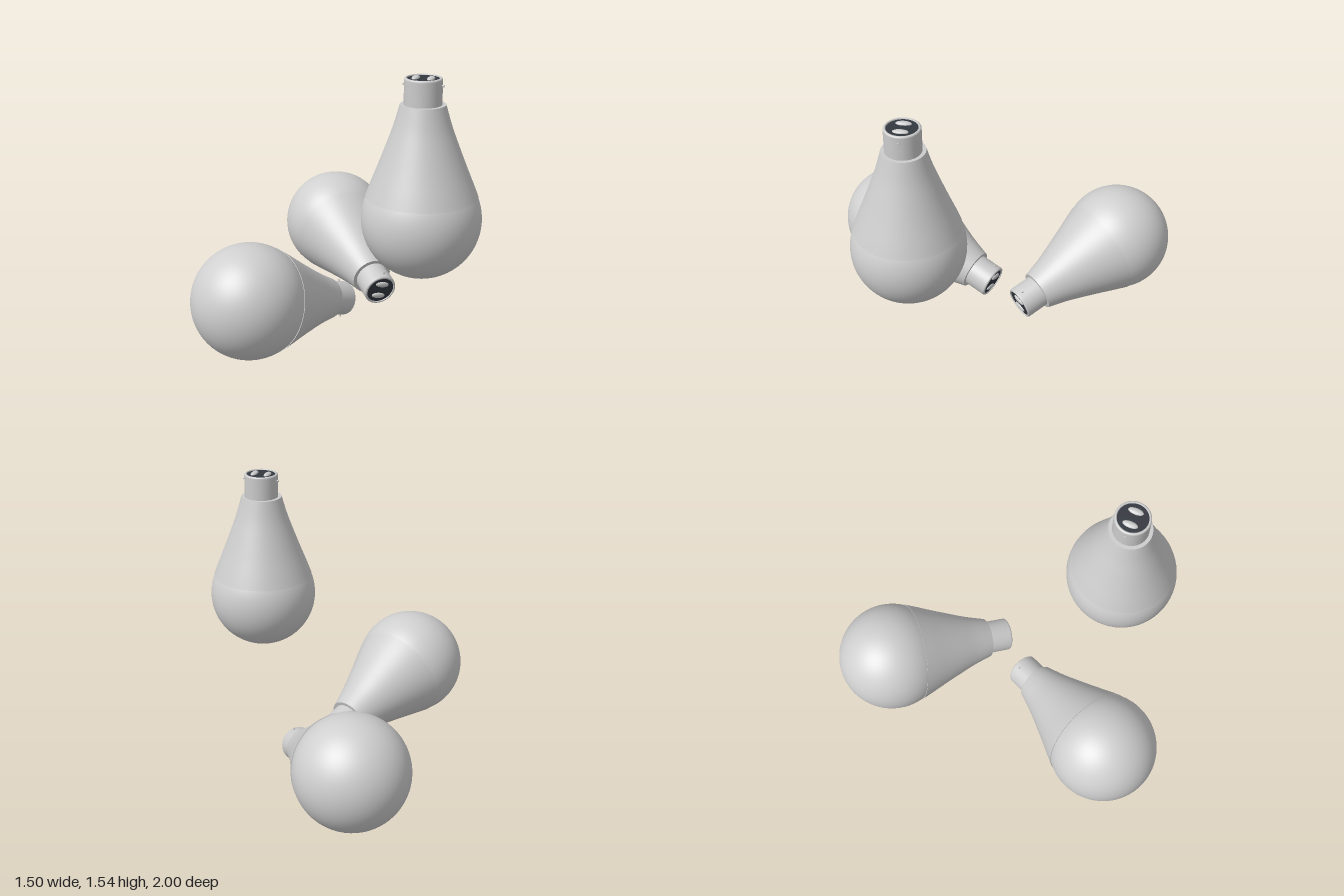
import * as THREE from 'three';

const mat = (name, color) => Object.assign(new THREE.MeshStandardMaterial({ color }), { name });

export function createModel() {
  const globeMat = mat('globe white', 0xcfcfcf);
  const bodyMat = mat('body white', 0xcccccc);
  const metalMat = mat('cap metal', 0xcccccc);
  const darkMat = mat('dark insulator', 0x33383f);

  const R = 0.315, SEAM = 0.125; // globe radius and height of the seam above its centre
  const v = (x, y) => new THREE.Vector2(x, y);

  // globe: sphere cut off just inside the body
  const cut = Math.acos((SEAM + 0.003) / R);
  const globeGeo = new THREE.SphereGeometry(R, 64, 40, 0, Math.PI * 2, cut, Math.PI - cut);

  // body: concave neck, with thin lips at the seam and the collar
  const neck = new THREE.SplineCurve([
    v(0.293, SEAM), v(0.268, 0.19), v(0.228, 0.29), v(0.186, 0.4), v(0.15, 0.5), v(0.118, 0.61),
  ]).getPoints(28);
  const bodyGeo = new THREE.LatheGeometry(neck, 64);
  const lipGeo = new THREE.RingGeometry(0.283, 0.293, 64).rotateX(Math.PI / 2);
  const collarGeo = new THREE.RingGeometry(0.09, 0.118, 64).rotateX(-Math.PI / 2);

  // cap: sleeve with a rounded rim
  const capPts = [v(0.098, 0.6), v(0.098, 0.735)];
  for (let i = 1; i <= 6; i++) {
    const a = (i / 6) * Math.PI / 2;
    capPts.push(v(0.088 + 0.01 * Math.cos(a), 0.738 + 0.01 * Math.sin(a)));
  }
  capPts.push(v(0.084, 0.747), v(0.083, 0.738));
  const capGeo = new THREE.LatheGeometry(capPts, 48);
  const discGeo = new THREE.CircleGeometry(0.085, 48).rotateX(-Math.PI / 2);
  const contactGeo = new THREE.SphereGeometry(1, 20, 12).scale(0.019, 0.012, 0.043);
  const pinGeo = new THREE.CylinderGeometry(0.006, 0.006, 0.216, 12).rotateZ(Math.PI / 2);

  function bulb(name, centre, axis, side) {
    const g = new THREE.Group();
    g.name = name;
    const add = (part, geo, m, x = 0, y = 0) => {
      const mesh = new THREE.Mesh(geo, m);
      mesh.name = part;
      mesh.position.set(x, y, 0);
      g.add(mesh);
    };
    add('globe', globeGeo, globeMat);
    add('body', bodyGeo, bodyMat);
    add('seamLip', lipGeo, bodyMat, 0, SEAM);
    add('collar', collarGeo, bodyMat, 0, 0.61);
    add('cap', capGeo, metalMat);
    add('insulator', discGeo, darkMat, 0, 0.742);
    for (const s of [-1, 1]) add('contact', contactGeo, metalMat, s * 0.04, 0.743);
    add('bayonetPins', pinGeo, metalMat, 0, 0.71);

    // local y runs from globe to cap, local x along the pins
    const y = new THREE.Vector3(...axis).normalize();
    const z = new THREE.Vector3(...side).cross(y).normalize();
    const x = y.clone().cross(z);
    g.quaternion.setFromRotationMatrix(new THREE.Matrix4().makeBasis(x, y, z));
    g.position.set(...centre);
    return g;
  }

  const model = new THREE.Group();
  model.name = 'lightBulbs';
  model.add(
    bulb('uprightBulb', [0.435, 0.79, 0.415], [0, 1, 0], [1, 0, 0]),
    bulb('frontLyingBulb', [-0.435, 0.318, 0.685], [0.413, -0.277, -0.867], [-0.15, 0.9, -0.36]),
    bulb('backLyingBulb', [-0.423, 0.318, -0.685], [0.633, -0.287, 0.733], [0.34, 0.9, 0.06]),
  );
  return model;
}
